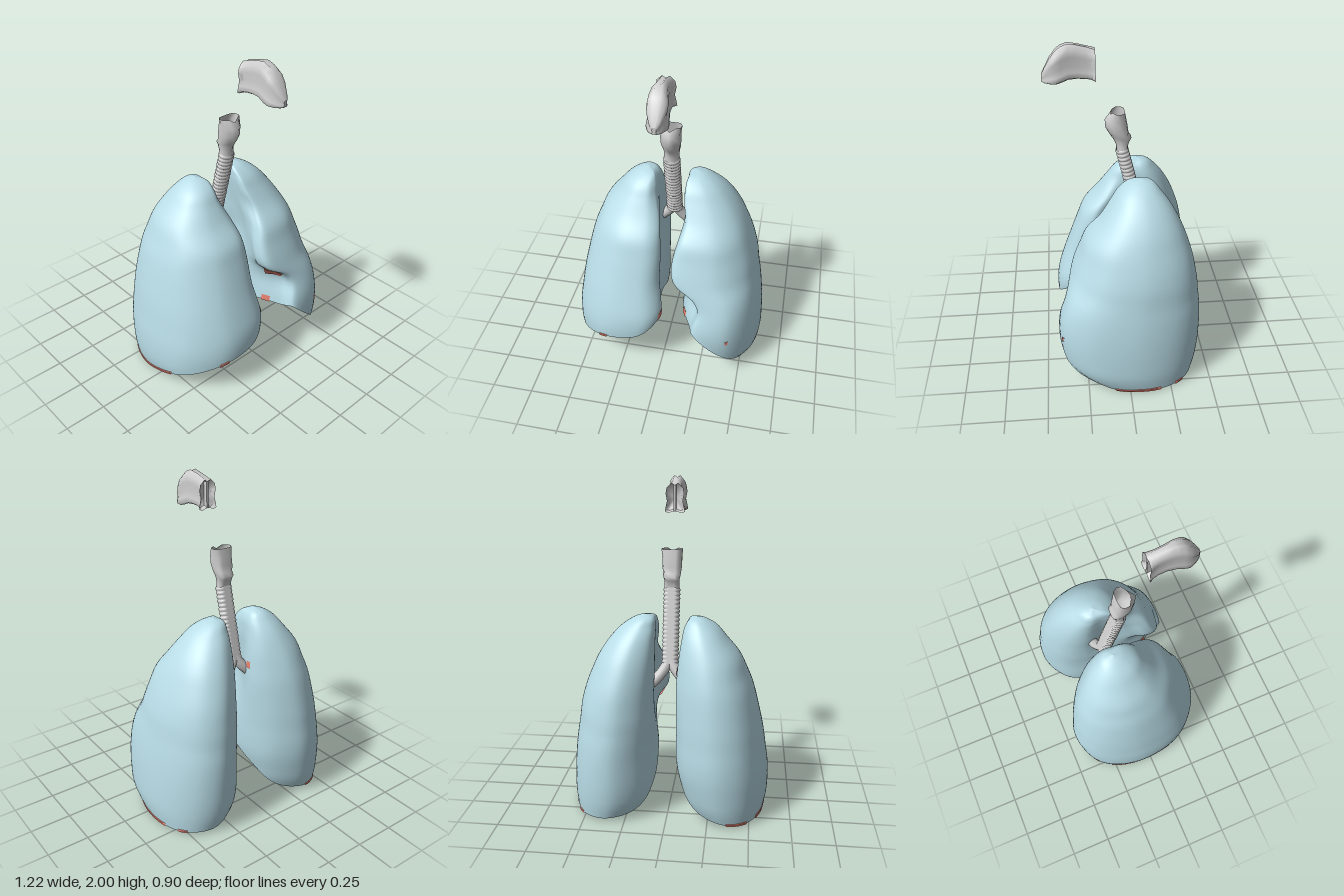
import * as THREE from 'three';

const mat = (name, color) => new THREE.MeshStandardMaterial({ name, color, side: THREE.DoubleSide });
const V = (x, y, z) => new THREE.Vector3(x, y, z);
const lerp = THREE.MathUtils.lerp;

// Skin a list of closed rings (all the same length)
function loft(rings) {
  const n = rings[0].length, pos = [], idx = [];
  rings.forEach(r => r.forEach(p => pos.push(p.x, p.y, p.z)));
  for (let j = 0; j < rings.length - 1; j++) {
    for (let i = 0; i < n; i++) {
      const a = j * n + i, b = j * n + (i + 1) % n;
      idx.push(a, a + n, b, b, a + n, b + n);
    }
  }
  const g = new THREE.BufferGeometry();
  g.setAttribute('position', new THREE.Float32BufferAttribute(pos, 3));
  g.setIndex(idx);
  g.computeVertexNormals();
  return g;
}

// Smooth lookup in a table whose rows start with a falling y
function lookup(table, y) {
  let k = 0;
  while (k < table.length - 2 && y < table[k + 1][0]) k++;
  const a = table[k], b = table[k + 1], h = b[0] - a[0];
  const p = table[Math.max(k - 1, 0)], q = table[Math.min(k + 2, table.length - 1)];
  const t = THREE.MathUtils.clamp((y - a[0]) / h, 0, 1), t2 = t * t, t3 = t2 * t;
  return a.map((v, c) => {
    const m0 = (b[c] - p[c]) / (b[0] - p[0]) * h, m1 = (q[c] - v) / (q[0] - a[0]) * h;
    return (2 * t3 - 3 * t2 + 1) * v + (t3 - 2 * t2 + t) * m0 + (3 * t2 - 2 * t3) * b[c] + (t3 - t2) * m1;
  });
}

// Lung outline: [medial edge 0 = front .. 1 = back, across, back to front]
const outline = (front, hollow) => [
  [0, 0, 0.89], [0, front, 0.99], [0, 0.58, 0.97], [0, 0.9, 0.78], [0.5, 1, 0.48], [1, 0.92, 0.22],
  [1, 0.72, 0.05], [1, 0.43, 0], [1, 0.13, 0.11], [1, 0, 0.3], [1, hollow, 0.56], [0.7, hollow * 0.25, 0.75],
];

// Rows: y, front medial x, rear medial x, lateral x, front z, back z
const LEFT = {
  side: 1, dome: 0.38, front: 0.1, hollow: 0.08,
  rim: [0.34, 0.34, 0.15, 0.02, 0.01, 0.01, 0.02, 0.03, 0.06, 0.2, 0.31, 0.35],
  rows: [
    [1.235, 0.147, 0.147, 0.147, -0.102, -0.102], [1.22, 0.1, 0.1, 0.2, -0.04, -0.16],
    [1.17, 0.085, 0.085, 0.28, 0.03, -0.21], [1.1, 0.085, 0.085, 0.35, 0.08, -0.265],
    [1.0, 0.1, 0.085, 0.42, 0.15, -0.32], [0.9, 0.075, 0.085, 0.47, 0.235, -0.36],
    [0.8, 0.05, 0.09, 0.51, 0.275, -0.39], [0.7, 0.045, 0.09, 0.54, 0.315, -0.41],
    [0.64, 0.075, 0.09, 0.55, 0.335, -0.42], [0.58, 0.17, 0.09, 0.56, 0.355, -0.425],
    [0.5, 0.215, 0.095, 0.575, 0.38, -0.435], [0.4, 0.19, 0.095, 0.59, 0.41, -0.44],
    [0.3, 0.17, 0.09, 0.6, 0.42, -0.44], [0.2, 0.17, 0.09, 0.605, 0.41, -0.435],
    [0.1, 0.19, 0.105, 0.605, 0.375, -0.42], [0, 0.24, 0.17, 0.585, 0.25, -0.39],
  ],
};
const RIGHT = {
  side: -1, dome: 0.38, front: 0.18, hollow: 0.13,
  rim: [0.38, 0.27, 0.21, 0.12, 0.03, 0.02, 0.02, 0.03, 0.07, 0.23, 0.36, 0.39],
  rows: [
    [1.23, 0.162, 0.162, 0.162, -0.102, -0.102], [1.215, 0.12, 0.12, 0.21, -0.04, -0.16],
    [1.17, 0.11, 0.09, 0.28, 0.03, -0.21], [1.1, 0.1, 0.075, 0.34, 0.08, -0.265],
    [1.0, 0.065, 0.06, 0.42, 0.15, -0.32], [0.9, 0.045, 0.05, 0.465, 0.235, -0.36],
    [0.8, 0.035, 0.045, 0.505, 0.275, -0.39], [0.6, 0.035, 0.045, 0.555, 0.345, -0.425],
    [0.5, 0.02, 0.045, 0.575, 0.38, -0.435], [0.4, 0.01, 0.045, 0.59, 0.41, -0.445],
    [0.3, 0.03, 0.05, 0.605, 0.42, -0.445], [0.2, 0.06, 0.07, 0.61, 0.41, -0.435],
    [0.1, 0.1, 0.1, 0.605, 0.375, -0.42], [0, 0.2, 0.17, 0.58, 0.25, -0.39],
  ],
};

const onLoop = (pts, a) => new THREE.CatmullRomCurve3(pts, true, 'catmullrom', 0.5).getPoint(a);

// Point on the lung surface at loop position a and height y; the root hollow sits mid-height
function lungPoint(spec, a, y) {
  const [, xf, xm, xl, zf, zb] = lookup(spec.rows, y);
  const hollow = spec.hollow * Math.exp(-(((y - 0.84) / 0.24) ** 2));
  return onLoop(outline(spec.front, hollow).map(([m, u, v]) =>
    V(spec.side * lerp(lerp(xf, xm, m), xl, u), y, lerp(zb, zf, v))), a);
}
const rimHeight = (spec, a) => onLoop(spec.rim.map(r => V(r, 0, 0)), a).x;

function makeLung(spec, name, skin, tissue) {
  const group = new THREE.Group();
  group.name = name;
  const N = 96, M = 48, K = 14, top = spec.rows[0][0];
  const loop = Array.from({ length: N }, (_, i) => i / N);
  // outer wall from the lower rim to the apex
  const wall = [];
  for (let j = 0; j <= M; j++) {
    const f = Math.sin(j / M * Math.PI / 2);
    wall.push(loop.map(a => lungPoint(spec, a, lerp(rimHeight(spec, a), top, f))));
  }
  const outer = new THREE.Mesh(loft(wall), skin);
  outer.name = 'lungWall';
  // hollow underside
  const c = wall[0].reduce((s, p) => s.add(p), V(0, 0, 0)).divideScalar(N);
  const under = [];
  for (let k = 0; k <= K; k++) {
    const s = k / K;
    under.push(wall[0].map(p => V(lerp(c.x, p.x, s), lerp(spec.dome, p.y, s ** 2.4), lerp(c.z, p.z, s))));
  }
  const base = new THREE.Mesh(loft(under), skin);
  base.name = 'lungBase';
  group.add(outer, base);
  // thin tissue wedges wrapped over the surface: stops are [loop position, height], h is the band height
  const patch = (stops, h) => {
    const rings = stops.map(([a, y]) => {
      const p = lungPoint(spec, a, y), q = lungPoint(spec, a, y + h);
      const out = V(p.x - c.x, 0, p.z - c.z).normalize().multiplyScalar(0.004);
      const inner = V(lerp(c.x, p.x, 0.92), y + 0.18 * (spec.dome - y) - 0.006, lerp(c.z, p.z, 0.92));
      return [inner, p.add(out).add(V(0, -0.004, 0)), q.add(out)];
    });
    const g = loft(rings).toNonIndexed();
    g.computeVertexNormals();
    const m = new THREE.Mesh(g, tissue);
    m.name = 'exposedTissue';
    group.add(m);
  };
  const rimRun = (from, to, h) => patch(Array.from({ length: 13 }, (_, i) => {
    const a = lerp(from, to, i / 12) / 12;
    return [a, rimHeight(spec, a)];
  }), h);
  if (spec.side > 0) {
    rimRun(3.2, 4.6, 0.01);
    rimRun(5.2, 5.6, 0.008);
    rimRun(11, 11.4, 0.035);
    patch([0.64, 0.62, 0.6, 0.58, 0.555].map(y => [0.02, y]), 0.018);
    patch([[0.163, 0.3], [0.167, 0.3], [0.171, 0.305]], 0.02);
  } else {
    rimRun(1.85, 2.1, 0.012);
    rimRun(3.3, 5.2, 0.014);
    rimRun(5.8, 6.8, 0.008);
    patch([[0.975, 0.385], [0, 0.385], [0.015, 0.375]], 0.04);
    patch([[0.74, 0.9], [0.75, 0.9], [0.76, 0.9]], 0.03);
  }
  return group;
}

export function createModel() {
  const model = new THREE.Group();
  const skin = mat('paleBlue', 0xb9dde7);
  const tissue = mat('coral', 0xf08674);
  const cartilage = mat('lightGrey', 0xd0d0d0);
  const add = (name, geometry) => {
    const m = new THREE.Mesh(geometry, cartilage);
    m.name = name;
    model.add(m);
    return m;
  };

  model.add(makeLung(LEFT, 'leftLung', skin, tissue), makeLung(RIGHT, 'rightLung', skin, tissue));

  // Windpipe ringed at the front and flat behind, leaning forward towards the top
  const low = V(0, 0.93, -0.105), high = V(0, 1.37, 0.002), length = low.distanceTo(high);
  const profile = [];
  for (let i = 0; i <= 108; i++) {
    const t = i / 108;
    profile.push(new THREE.Vector2(0.045 + 0.006 * Math.abs(Math.sin(t * Math.PI * 18)), t * length));
  }
  const pipe = new THREE.LatheGeometry(profile, 32), pp = pipe.attributes.position;
  for (let i = 0; i < pp.count; i++) pp.setZ(i, Math.max(pp.getZ(i) * 0.85, -0.034));
  pipe.computeVertexNormals();
  const trachea = add('trachea', pipe);
  trachea.position.copy(low);
  trachea.rotation.x = Math.atan2(high.z - low.z, high.y - low.y);

  // Two branches into the lungs
  const branch = (name, pts) =>
    add(name, new THREE.TubeGeometry(new THREE.CatmullRomCurve3(pts), 16, 0.032, 14));
  branch('leftBronchus', [V(0, 0.96, -0.1), V(0.04, 0.89, -0.12), V(0.09, 0.83, -0.135), V(0.15, 0.78, -0.14)]);
  branch('rightBronchus', [V(0, 0.96, -0.1), V(-0.035, 0.9, -0.12), V(-0.08, 0.85, -0.135), V(-0.13, 0.8, -0.14)]);

  // Voice box: open-topped tube with a prow; rows: y, half width, front z, back z
  const larynxRows = [
    [1.35, 0.048, 0.035, -0.03], [1.39, 0.044, 0.037, -0.03], [1.42, 0.045, 0.05, -0.04], [1.44, 0.05, 0.062, -0.05],
    [1.46, 0.053, 0.075, -0.034], [1.5, 0.058, 0.098, -0.03], [1.55, 0.058, 0.102, -0.022], [1.6, 0.064, 0.07, -0.012],
  ];
  const larynxShape = [[0, 1], [0.5, 0.85], [0.95, 0.62], [1, 0.3], [0.8, 0.05], [0.4, 0],
    [-0.4, 0], [-0.8, 0.05], [-1, 0.3], [-0.95, 0.62], [-0.5, 0.85]];
  add('larynx', loft(larynxRows.map(([y, w, f, b]) =>
    larynxShape.map(([u, v]) => V(u * w, y - (y > 1.58 && u === 0 ? 0.02 : 0), lerp(b, f, v))))));

  // Nose: arched sections from back to tip; rows: z, half width, bottom, top
  const noseRows = [
    [0.15, 0.06, 1.79, 1.965], [0.165, 0.05, 1.8, 1.97], [0.2, 0.043, 1.805, 1.98], [0.25, 0.043, 1.808, 1.992],
    [0.3, 0.05, 1.805, 2.0], [0.34, 0.057, 1.79, 1.985], [0.37, 0.06, 1.782, 1.96],
    [0.4, 0.05, 1.782, 1.92], [0.43, 0.032, 1.785, 1.865], [0.447, 0.012, 1.79, 1.83],
  ];
  const noseHalf = [[0.12, 0.06], [0.7, 0], [1, 0.05], [0.92, 0.2], [0.78, 0.4], [0.92, 0.65], [0.82, 0.85], [0.35, 1]];
  const noseShape = [...noseHalf, [0, 0.93], ...noseHalf.slice().reverse().map(([u, v]) => [-u, v])];
  const noseRings = noseRows.map(([z, w, b, t]) => noseShape.map(([u, v]) => V(u * w, lerp(b, t, v), z)));
  const tip = r => r.map(() => V(0, (r[1].y + r[7].y) / 2, r[0].z));
  add('nose', loft(noseRings));
  add('noseTip', loft([noseRings.at(-1), tip(noseRings.at(-1))]));
  // recessed back with a dividing wall
  const inner = noseRings[0].map(p => V(p.x * 0.7, lerp(1.88, p.y, 0.85), 0.18));
  add('noseBack', loft([tip(inner), inner, noseRings[0]]));
  add('septum', new THREE.BoxGeometry(0.014, 0.15, 0.04)).position.set(0, 1.877, 0.172);

  return model;
}
